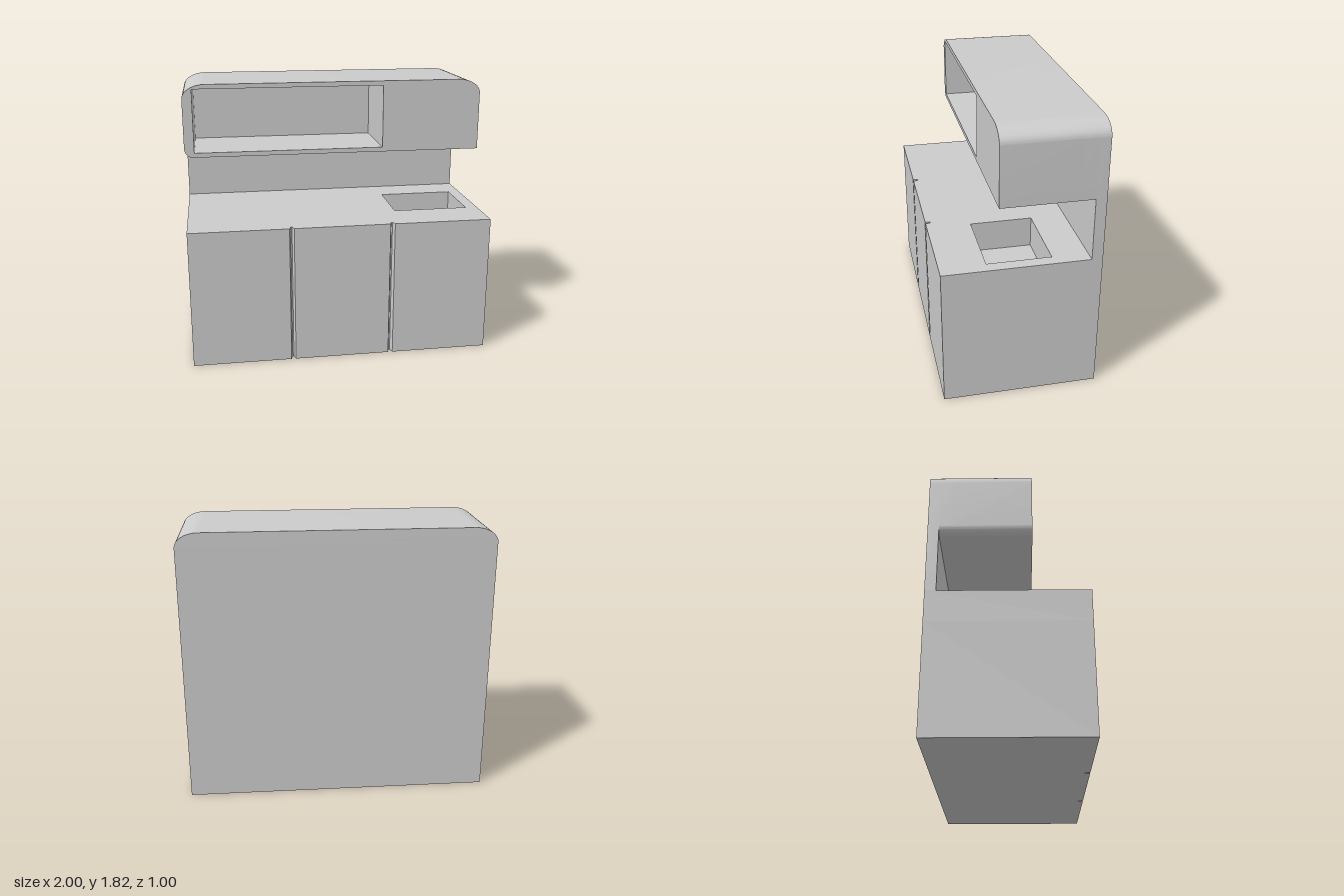
import * as THREE from 'three';
import { toCreasedNormals } from 'three/addons/utils/BufferGeometryUtils.js';

const material = new THREE.MeshStandardMaterial({ color: 0xcccccc });

function extrude(shape, depth) {
  const geo = new THREE.ExtrudeGeometry(shape, { depth, bevelEnabled: false, curveSegments: 12 });
  return toCreasedNormals(geo, 0.6);
}

function addPart(group, name, geo) {
  const mesh = new THREE.Mesh(geo, material);
  mesh.name = name;
  group.add(mesh);
}

function rectPath(x0, x1, y0, y1) {
  return new THREE.Path([
    new THREE.Vector2(x0, y0), new THREE.Vector2(x0, y1),
    new THREE.Vector2(x1, y1), new THREE.Vector2(x1, y0),
  ]);
}

// Counter plan (shape y is -z), with grooves between the three doors
function counterPlan() {
  const s = new THREE.Shape();
  s.moveTo(-1, -0.5);
  for (const x of [-0.333, 0.333]) {
    s.lineTo(x - 0.015, -0.5);
    s.lineTo(x - 0.004, -0.465);
    s.lineTo(x + 0.004, -0.465);
    s.lineTo(x + 0.015, -0.5);
  }
  s.lineTo(1, -0.5);
  s.lineTo(1, 0.5);
  s.lineTo(-1, 0.5);
  s.closePath();
  return s;
}

// Front outline with rounded top corners and an optional rounded lower corner at -x
function roundedFront(bottom, lower) {
  const top = 1.815, rx = 0.15, ry = 0.095;
  const s = new THREE.Shape();
  s.moveTo(-1 + lower, bottom);
  s.lineTo(1, bottom);
  s.lineTo(1, top - ry);
  s.absellipse(1 - rx, top - ry, rx, ry, 0, Math.PI / 2, false, 0);
  s.lineTo(-1 + rx, top);
  s.absellipse(-1 + rx, top - ry, rx, ry, Math.PI / 2, Math.PI, false, 0);
  s.lineTo(-1, bottom + lower);
  if (lower > 0) s.absarc(-1 + lower, bottom + lower, lower, Math.PI, Math.PI * 1.5, false);
  return s;
}

export function createModel() {
  const group = new THREE.Group();
  group.name = 'kitchenette';
  const counterTop = 0.927, basinFloor = 0.72;

  // Base cabinet up to the basin floor, then the layer holding the basin
  const up = -Math.PI / 2;
  addPart(group, 'baseCabinet', extrude(counterPlan(), basinFloor).rotateX(up));
  const plan = counterPlan();
  plan.holes.push(rectPath(0.41, 0.92, -0.21, 0.2));
  addPart(group, 'counterWithSink',
    extrude(plan, counterTop - basinFloor).rotateX(up).translate(0, basinFloor, 0));

  // Back panel
  addPart(group, 'backPanel', extrude(roundedFront(counterTop, 0), 0.07).translate(0, 0, -0.5));

  // Wall cabinet: solid back layer and hollow front with the open niche
  addPart(group, 'wallCabinetBack', extrude(roundedFront(1.335, 0.06), 0.08).translate(0, 0, -0.43));
  const front = roundedFront(1.335, 0.06);
  front.holes.push(rectPath(-0.935, 0.33, 1.365, 1.785));
  addPart(group, 'wallCabinetNiche', extrude(front, 0.5).translate(0, 0, -0.35));

  return group;
}
